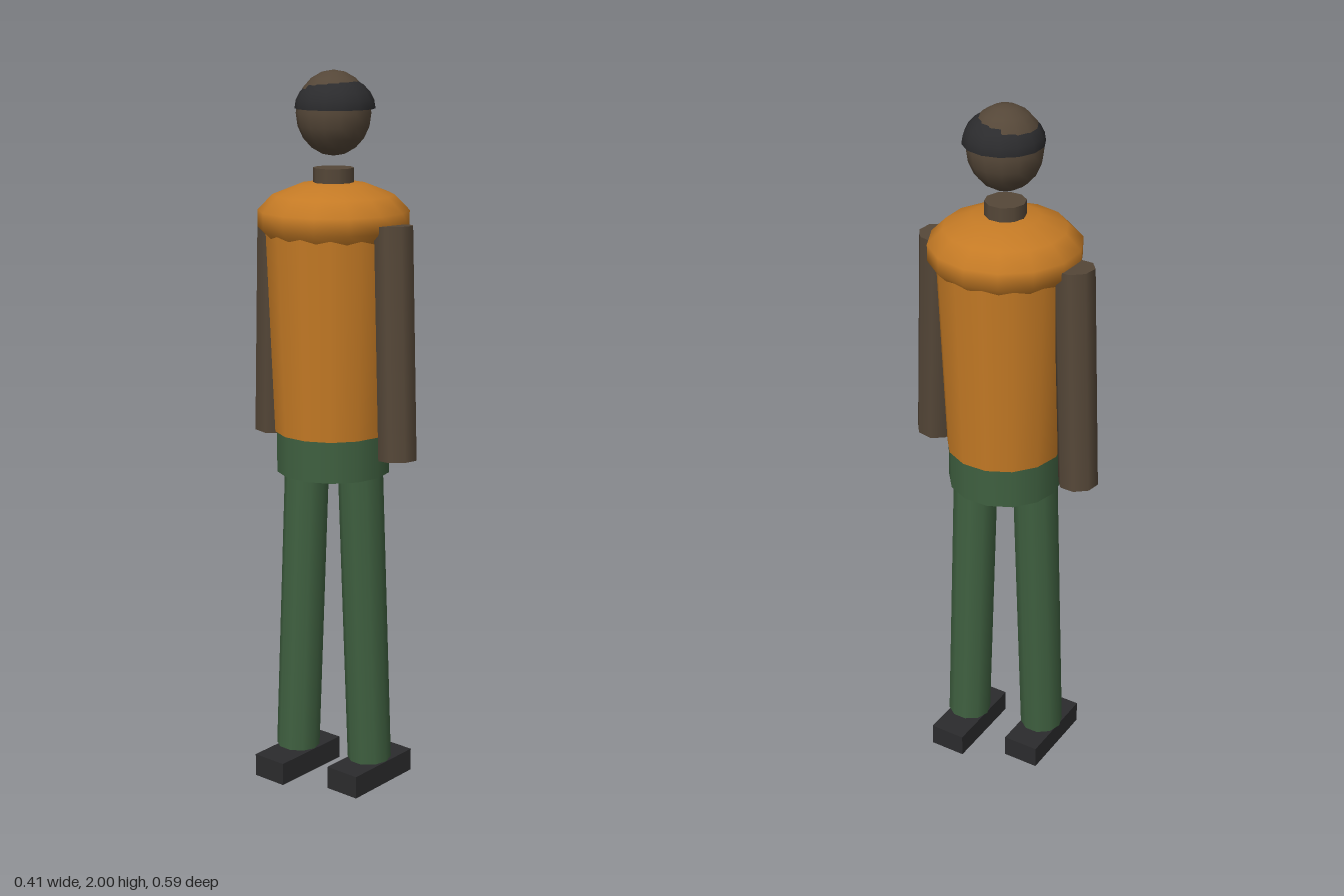
import * as THREE from 'three';

const material = (name, color) => Object.assign(new THREE.MeshStandardMaterial({ color }), { name });

export function createModel() {
  const orange = material('orange jacket', 0xc47a25);
  const green = material('green trousers', 0x3f6040);
  const skin = material('brown skin', 0x554738);
  const dark = material('charcoal', 0x2b2b2d);

  const model = new THREE.Group();
  model.name = 'standingFigure';

  const add = (parent, name, geometry, mat, x = 0, y = 0, z = 0) => {
    const mesh = new THREE.Mesh(geometry, mat);
    mesh.name = name;
    mesh.position.set(x, y, z);
    parent.add(mesh);
    return mesh;
  };

  // Straight round limb between two points
  const limb = (parent, name, mat, top, bottom, radius, sides, twist) => {
    const a = new THREE.Vector3(...top);
    const b = new THREE.Vector3(...bottom);
    const geometry = new THREE.CylinderGeometry(radius, radius, a.distanceTo(b), sides);
    geometry.rotateY(twist);
    const mesh = add(parent, name, geometry, mat);
    mesh.position.copy(a).add(b).multiplyScalar(0.5);
    mesh.quaternion.setFromUnitVectors(new THREE.Vector3(0, 1, 0), a.sub(b).normalize());
  };

  // Torso, rounded shoulders and hips
  const torso = add(model, 'torso', new THREE.CylinderGeometry(0.188, 0.165, 0.57, 14), orange, 0, 1.315, 0);
  torso.scale.z = 0.97;
  const shoulders = new THREE.SphereGeometry(0.209, 14, 7);
  shoulders.scale(1, 0.49, 1);
  add(model, 'shoulders', shoulders, orange, 0, 1.61, 0);
  add(model, 'hips', new THREE.CylinderGeometry(0.158, 0.158, 0.12, 14), green, 0, 0.975, 0);

  // Neck and floating head
  add(model, 'neck', new THREE.CylinderGeometry(0.055, 0.055, 0.1, 10), skin, 0, 1.695, 0);
  const head = new THREE.SphereGeometry(0.1, 14, 10);
  head.scale(1, 1.12, 1);
  add(model, 'head', head, skin, 0, 1.888, 0);

  // Shallow hair cap with the crown showing through
  const hair = new THREE.SphereGeometry(0.107, 14, 6, 0, Math.PI * 2, 0, Math.PI / 2);
  hair.scale(1, 0.81, 1);
  const hairMaterial = dark.clone();
  hairMaterial.name = 'charcoal hair';
  hairMaterial.side = THREE.DoubleSide;
  add(model, 'hair', hair, hairMaterial, 0, 1.9, 0.005);

  // Arm, leg and shoe on each side, half a turn apart
  ['front', 'back'].forEach((side, i) => {
    const half = new THREE.Group();
    half.name = side + 'Limbs';
    half.rotation.y = i * Math.PI;
    limb(half, side + 'Arm', skin, [0, 1.607, 0.205], [-0.023, 0.988, 0.243], 0.055, 8, Math.PI / 12);
    limb(half, side + 'Leg', green, [0, 0.94, 0.096], [0.031, 0.073, 0.108], 0.062, 10, 0);
    add(half, side + 'Shoe', new THREE.BoxGeometry(0.25, 0.065, 0.105), dark, 0.034, 0.0325, 0.107);
    model.add(half);
  });

  return model;
}
